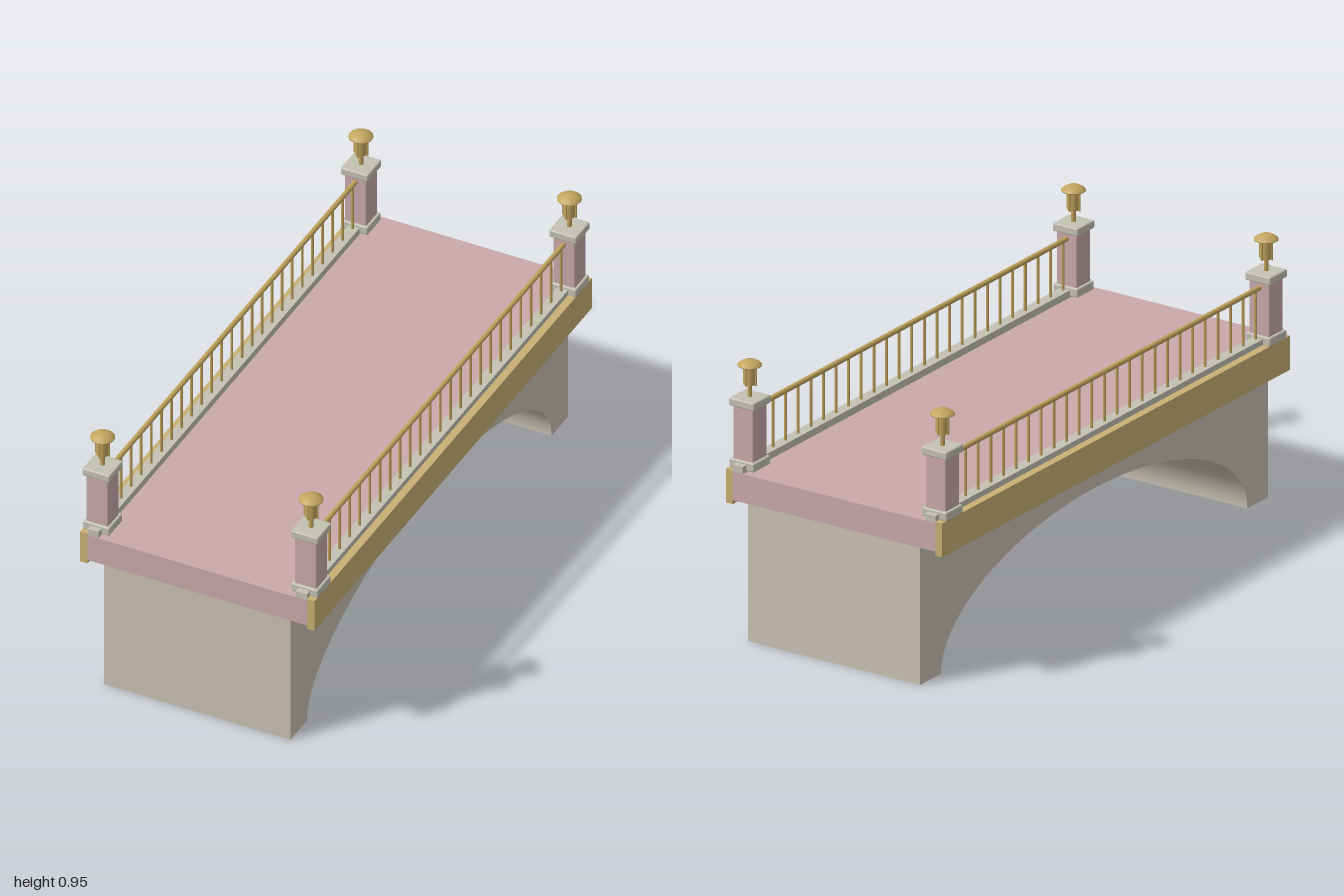
import * as THREE from 'three';
import { RoundedBoxGeometry } from 'three/addons/geometries/RoundedBoxGeometry.js';

const material = (name, color) => new THREE.MeshStandardMaterial({ name, color });

export function createModel() {
  const stone = material('stone', 0xc9c2b3);
  const trim = material('trimStone', 0xc4c1b4);
  const pink = material('pinkStone', 0xc9a9ac);
  const gold = material('goldFascia', 0xc9b074);
  const brass = material('brass', 0xc2a55e);

  const bridge = new THREE.Group();
  bridge.name = 'bridge';

  const add = (parent, name, geometry, mat, x = 0, y = 0, z = 0) => {
    const mesh = new THREE.Mesh(geometry, mat);
    mesh.name = name;
    mesh.position.set(x, y, z);
    parent.add(mesh);
    return mesh;
  };
  // Box given by its bottom and top heights
  const slab = (parent, name, mat, w, y0, y1, d, x = 0, z = 0) =>
    add(parent, name, new THREE.BoxGeometry(w, y1 - y0, d), mat, x, (y0 + y1) / 2, z);
  const softSlab = (parent, name, mat, w, y0, y1) =>
    add(parent, name, new RoundedBoxGeometry(w, y1 - y0, w, 1, 0.005), mat, 0, (y0 + y1) / 2, 0);

  // Arched body: side profile extruded across the width
  const profile = new THREE.Shape();
  profile.moveTo(-1, 0);
  profile.lineTo(-0.88, 0);
  profile.absellipse(0, 0, 0.88, 0.36, Math.PI, 0, true);
  profile.lineTo(1, 0);
  profile.lineTo(1, 0.48);
  profile.lineTo(-1, 0.48);
  profile.closePath();
  const body = new THREE.ExtrudeGeometry(profile, { depth: 0.68, bevelEnabled: false, curveSegments: 48 });
  body.rotateY(Math.PI / 2).translate(-0.34, 0, 0);
  add(bridge, 'archBody', body, stone);

  // Roadway
  slab(bridge, 'deck', pink, 0.8, 0.48, 0.58, 2);

  // Lamp roof profile, closed underneath
  const roof = new THREE.LatheGeometry([
    [0, 0.935], [0.041, 0.935], [0.041, 0.938], [0.031, 0.946], [0.018, 0.953], [0, 0.955],
  ].map(([r, y]) => new THREE.Vector2(r, y)), 16);

  const makePost = () => {
    const post = new THREE.Group();
    post.name = 'lampPost';
    softSlab(post, 'postBase', trim, 0.097, 0.583, 0.614);
    softSlab(post, 'postShaft', pink, 0.08, 0.61, 0.801);
    softSlab(post, 'postCap', trim, 0.1, 0.798, 0.826);
    add(post, 'lampStem', new THREE.CylinderGeometry(0.008, 0.008, 0.05, 10), brass, 0, 0.848, 0);
    add(post, 'lampBody', new THREE.CylinderGeometry(0.021, 0.021, 0.068, 16), brass, 0, 0.903, 0);
    for (let i = 0; i < 4; i++) {
      const a = (i * Math.PI) / 2;
      add(post, 'lampBar', new THREE.CylinderGeometry(0.003, 0.003, 0.07, 6), brass,
        0.024 * Math.cos(a), 0.902, 0.024 * Math.sin(a));
    }
    add(post, 'lampRoof', roof, brass);
    return post;
  };

  const baluster = new THREE.CylinderGeometry(0.005, 0.005, 0.175, 8);
  for (const side of [-1, 1]) {
    const parapet = new THREE.Group();
    parapet.name = side > 0 ? 'leftParapet' : 'rightParapet';
    bridge.add(parapet);
    const x = 0.38 * side;

    // Outer fascia beam and inner curb
    slab(parapet, 'fascia', gold, 0.027, 0.466, 0.585, 2, 0.4135 * side);
    slab(parapet, 'curb', trim, 0.04, 0.58, 0.605, 2, x);

    // Handrail and balusters
    const rail = add(parapet, 'handrail', new THREE.CylinderGeometry(0.009, 0.009, 1.8, 10), brass, x, 0.778, 0);
    rail.rotation.x = Math.PI / 2;
    for (let i = 0; i < 25; i++) {
      add(parapet, 'baluster', baluster, brass, x, 0.69, -0.87 + i * 0.0725);
    }

    // Posts at both ends
    for (const end of [-1, 1]) {
      const post = makePost();
      post.position.set(x, 0, 0.93 * end);
      parapet.add(post);
    }
  }
  return bridge;
}
